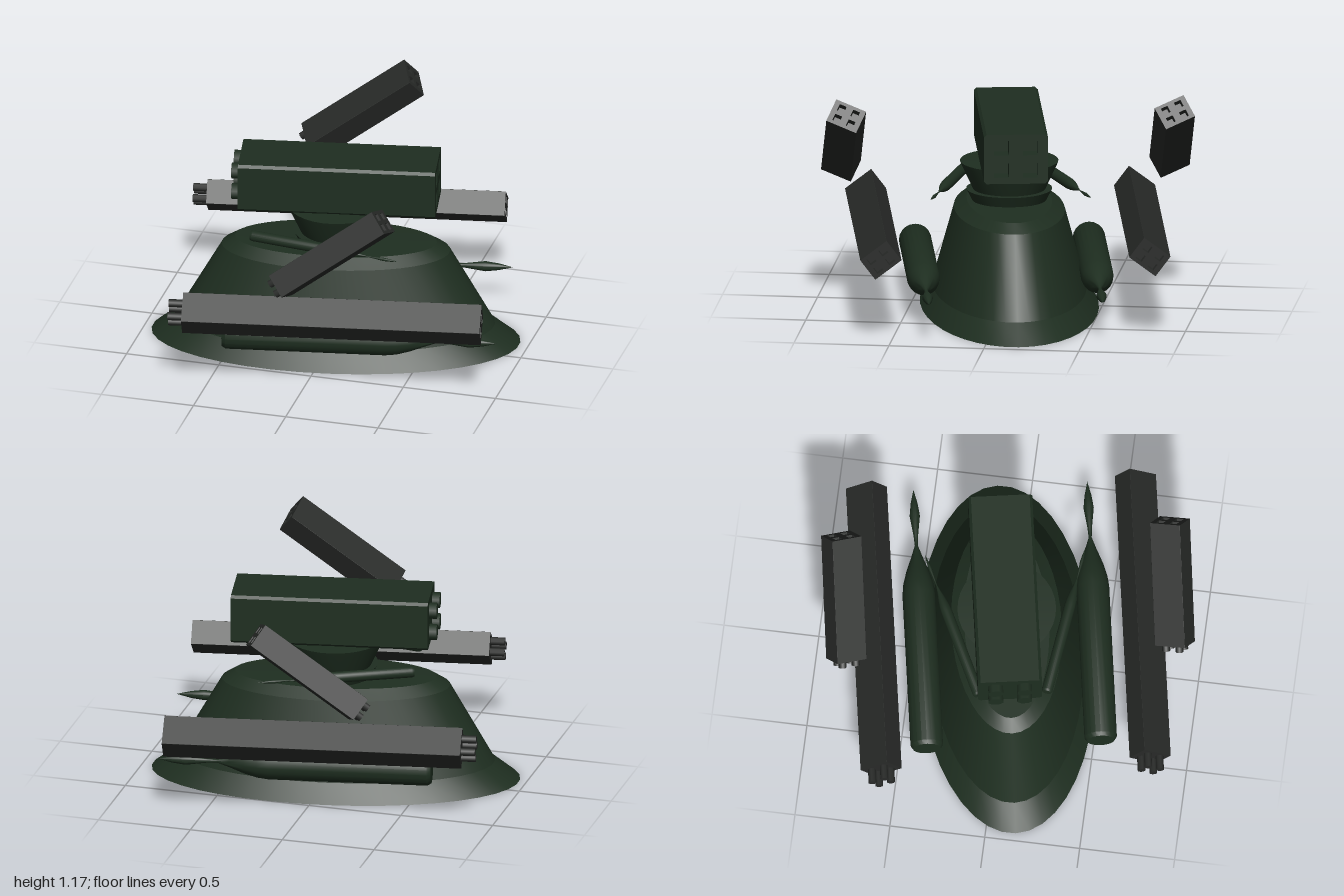
import * as THREE from 'three';
import { toCreasedNormals } from 'three/addons/utils/BufferGeometryUtils.js';

const green = new THREE.MeshStandardMaterial({ color: 0x1e2e20 });
const grey = new THREE.MeshStandardMaterial({ color: 0x282a28 });

function mesh(name, geometry, material) {
  const m = new THREE.Mesh(geometry, material);
  m.name = name;
  return m;
}

function lathe(points, sides) {
  return new THREE.LatheGeometry(points.map(([r, y]) => new THREE.Vector2(r, y)), sides);
}

// Rectangle with cut corners
function cutRect(w, h, c) {
  const x = w / 2, y = h / 2;
  const s = new THREE.Shape();
  s.moveTo(-x + c, -y);
  [[x - c, -y], [x, -y + c], [x, y - c], [x - c, y], [-x + c, y], [-x, y - c], [-x, -y + c]]
    .forEach(([a, b]) => s.lineTo(a, b));
  s.closePath();
  return s;
}

// Four-tube box launcher along x: square muzzles at +x, exhaust stubs at -x
function launcher(name, length, w, h, cut, stub, material) {
  const g = new THREE.Group();
  g.name = name;
  const depth = Math.min(w, h) * 0.35;
  const hole = h * 0.29, dy = h * 0.225, dz = w * 0.225;

  const extrude = (shape, d, x) => new THREE.ExtrudeGeometry(shape, { depth: d, bevelEnabled: false })
    .rotateY(Math.PI / 2).translate(x, 0, 0);
  g.add(mesh('casing', extrude(cutRect(w, h, cut), length - depth, -length / 2), material));

  const muzzle = cutRect(w, h, cut);
  for (const a of [-1, 1]) for (const b of [-1, 1]) {
    const x = a * dz, y = b * dy, r = hole / 2;
    muzzle.holes.push(new THREE.Path([
      [x - r, y - r], [x - r, y + r], [x + r, y + r], [x + r, y - r],
    ].map(([u, v]) => new THREE.Vector2(u, v))));

    const tube = mesh('exhaustStub',
      new THREE.CylinderGeometry(hole * 0.55, hole * 0.55, stub + 0.02, 8).toNonIndexed(), material);
    tube.geometry.rotateY(Math.PI / 8).rotateZ(Math.PI / 2);
    tube.position.set(-length / 2 - stub / 2 + 0.01, y, x);
    g.add(tube);
  }
  g.add(mesh('muzzle', extrude(muzzle, depth, length / 2 - depth), material));
  return g;
}

// Slim pod along x: cylinder, tapered nose and leaf-shaped spike
function pod(name) {
  const geo = lathe([
    [0, -0.555], [0.072, -0.555], [0.085, -0.535], [0.086, 0.3], [0.079, 0.36], [0.06, 0.43],
    [0.03, 0.51], [0.008, 0.575], [0.012, 0.63], [0.027, 0.74], [0.018, 0.81], [0, 0.886],
  ], 20);
  geo.rotateZ(-Math.PI / 2);
  return mesh(name, toCreasedNormals(geo, 0.6), green);
}

export function createModel() {
  const model = new THREE.Group();
  model.name = 'turret';
  const body = new THREE.Group();
  body.name = 'body';
  body.rotation.y = Math.PI / 18;
  model.add(body);

  // Oval hull, with a narrower top plateau
  const hullGeo = lathe([[0, 0], [0.968, 0], [0.835, 0.1], [0.6, 0.515], [0.53, 0.56], [0, 0.565]], 40);
  const p = hullGeo.attributes.position;
  for (let i = 0; i < p.count; i++) p.setZ(i, p.getZ(i) * (p.getY(i) > 0.55 ? 0.42 : 0.482));
  const hull = mesh('hull', toCreasedNormals(hullGeo, 0.3), green);
  hull.position.set(-0.003, 0, -0.011);
  body.add(hull);

  // Swivel neck
  const neck = mesh('neck', toCreasedNormals(lathe([
    [0.19, 0.55], [0.225, 0.62], [0.19, 0.62], [0.25, 0.75], [0.258, 0.77], [0, 0.78],
  ], 32), 0.5), green);
  neck.position.z = -0.01;
  body.add(neck);

  // Main launcher
  const main = launcher('mainLauncher', 1.036, 0.335, 0.265, 0.014, 0.04, green);
  main.position.set(0.014, 0.905, -0.018);
  body.add(main);

  for (const s of [1, -1]) {
    const side = s > 0 ? 'left' : 'right';

    // Long level launcher, rolled outward
    const long = launcher(side + 'LongLauncher', 1.567, 0.172, 0.131, 0.001, 0.075, grey);
    long.rotation.x = s * 0.645;
    long.position.set(0.043, 0.443, s * 0.704);
    body.add(long);

    // Short raised launcher, pitched up and rolled inward
    const short = launcher(side + 'RaisedLauncher', 0.668, 0.17, 0.133, 0.001, 0.035, grey);
    short.rotation.set(-s * 0.44, 0, 0.632, 'ZYX');
    short.position.set(0.057, 0.9, s * 0.86);
    body.add(short);

    // Large pod beside the hull
    const large = pod(side + 'LargePod');
    large.position.set(0, 0.215, s * 0.455);
    body.add(large);

    // Small splayed pod above the plateau
    const small = pod(side + 'SmallPod');
    small.scale.set(0.576, 0.34, 0.34);
    small.rotation.y = -s * 0.297;
    small.position.set(-0.125, 0.65, s * 0.271);
    body.add(small);
  }
  return model;
}
